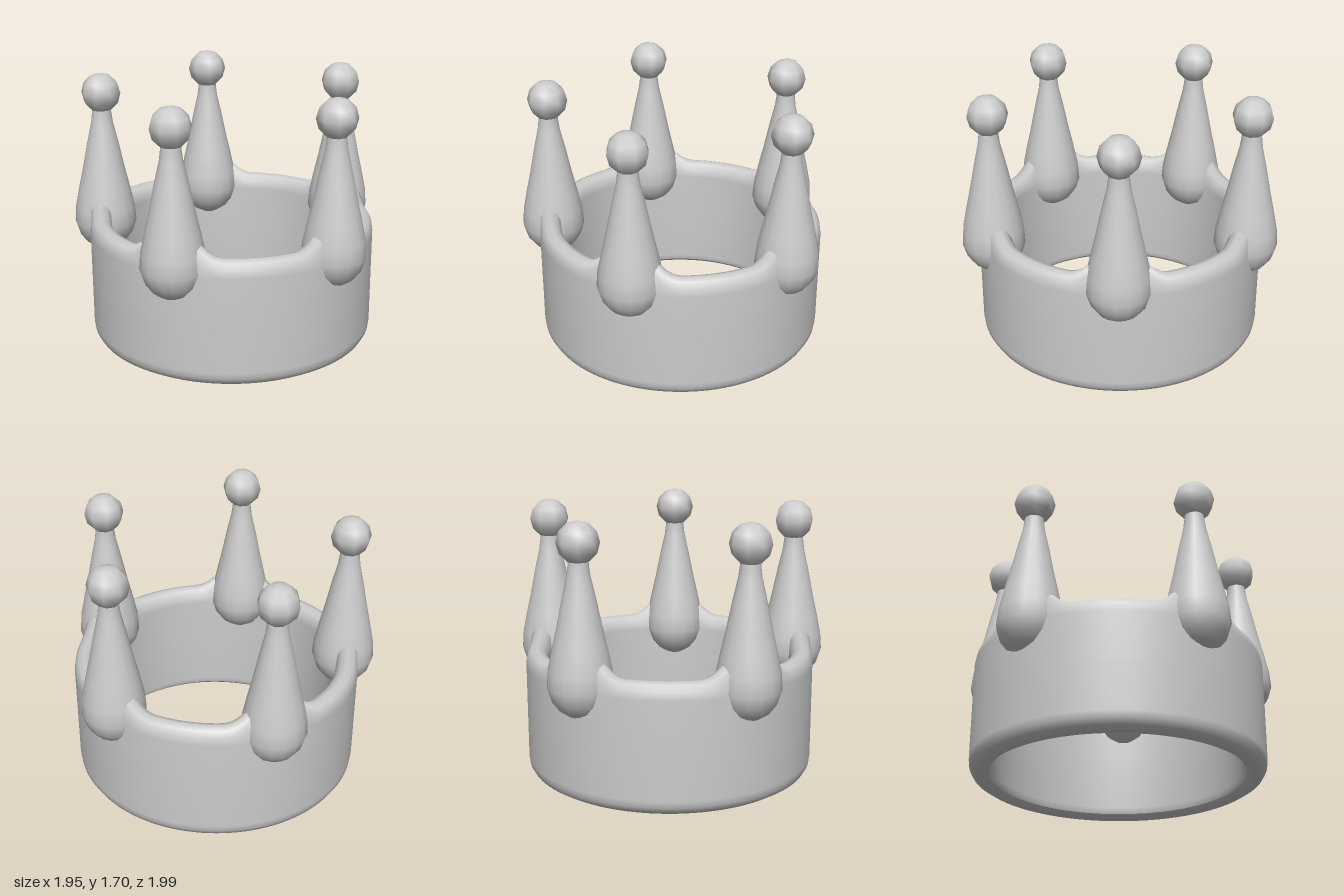
import * as THREE from 'three';

const material = new THREE.MeshStandardMaterial({ color: 0xcccccc });
const CENTRE_X = -0.065; // the band sits slightly off the origin
const SPIKE_RING = 0.835;
const SPIKES = 5;
const STEP = (Math.PI * 2) / SPIKES;
const pts = (list) => list.map(([r, y]) => new THREE.Vector2(r, y));

function mesh(name, geometry) {
  const m = new THREE.Mesh(geometry, material);
  m.name = name;
  return m;
}

// Rounded band; its rim swells up into a small fillet beside each spike
function bandGeometry() {
  const profile = pts([
    [0.785, 0.03], [0.815, 0.004], [0.85, 0], [0.89, 0.025], [0.91, 0.06], [0.915, 0.1],
    [0.915, 0.4], [0.915, 0.71], [0.907, 0.76], [0.885, 0.795], [0.845, 0.81],
    [0.805, 0.797], [0.78, 0.76], [0.773, 0.71], [0.773, 0.4], [0.773, 0.07], [0.785, 0.03],
  ]);
  const geo = new THREE.LatheGeometry(profile, 120, Math.PI / 2);
  const p = geo.attributes.position;
  for (let i = 0; i < p.count; i++) {
    const angle = Math.atan2(p.getZ(i), p.getX(i));
    const away = Math.abs(angle - Math.round(angle / STEP) * STEP) * SPIKE_RING;
    const swell = THREE.MathUtils.clamp((0.31 - away) / 0.14, 0, 1);
    if (p.getY(i) > 0.74) p.setY(i, p.getY(i) + 0.08 * swell * swell);
  }
  return geo;
}

export function createModel() {
  const crown = new THREE.Group();
  crown.name = 'crown';
  crown.position.x = CENTRE_X;
  crown.add(mesh('band', bandGeometry()));

  // Tapered spike with a rounded foot that bulges out of the band
  const spikeGeo = new THREE.LatheGeometry(pts([
    [0, 0.53], [0.07, 0.54], [0.13, 0.58], [0.175, 0.64], [0.2, 0.72], [0.192, 0.82],
    [0.165, 0.95], [0.135, 1.08], [0.1, 1.25], [0.07, 1.38], [0.062, 1.44], [0.055, 1.52],
  ]), 16);
  const beadGeo = new THREE.SphereGeometry(0.127, 8, 6);

  for (let i = 0; i < SPIKES; i++) {
    const spike = new THREE.Group();
    spike.name = 'spike' + (i + 1);
    spike.position.set(Math.cos(i * STEP) * SPIKE_RING, 0, Math.sin(i * STEP) * SPIKE_RING);
    const bead = mesh('bead', beadGeo);
    bead.position.y = 1.575;
    bead.rotation.y = i * 0.3;
    spike.add(mesh('shaft', spikeGeo), bead);
    crown.add(spike);
  }

  const model = new THREE.Group();
  model.name = 'crownModel';
  model.add(crown);
  return model;
}
